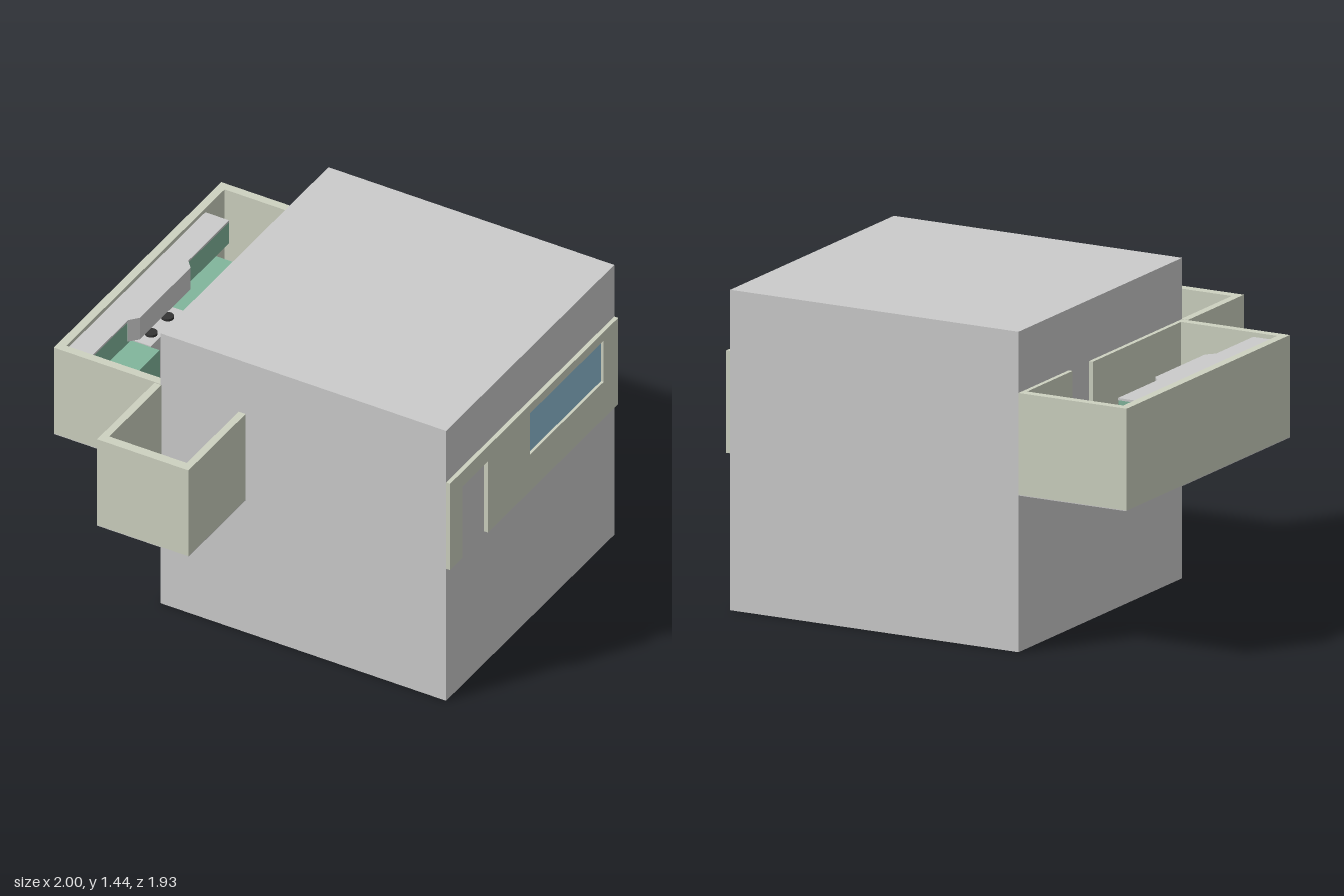
import * as THREE from 'three';

const mat = (color = 0xcccccc) => new THREE.MeshStandardMaterial({ color, side: THREE.DoubleSide });
const grey = mat(), wallMat = mat(0xcdd1c0), teal = mat(0x81b59c), glass = mat(0x8fbcd4);
const porcelain = mat(0xa1cdcb), dark = mat(0x333333);
const FLOOR = 0.707, TOP = 1.165;

export function createModel() {
  const root = new THREE.Group();
  const add = (parent, name, geometry, material) => {
    const m = new THREE.Mesh(geometry, material);
    m.name = name;
    parent.add(m);
    return m;
  };
  const group = (name) => {
    const g = new THREE.Group();
    g.name = name;
    root.add(g);
    return g;
  };
  // Box given by its min and max on each axis
  const box = (parent, name, [x0, x1], [y0, y1], [z0, z1], material = grey) => {
    const m = add(parent, name, new THREE.BoxGeometry(x1 - x0, y1 - y0, z1 - z0), material);
    m.position.set((x0 + x1) / 2, (y0 + y1) / 2, (z0 + z1) / 2);
    return m;
  };
  const outline = (pts) => new THREE.Shape(pts.map(([x, y]) => new THREE.Vector2(x, y)));
  // Plan outline in (x, z), raised from y0 to y1
  const prism = (parent, name, pts, y0, y1, material = grey) => {
    const g = new THREE.ExtrudeGeometry(outline(pts), { depth: y1 - y0, bevelEnabled: false });
    g.rotateX(Math.PI / 2).translate(0, y1, 0);
    return add(parent, name, g, material);
  };

  // Main block
  box(root, 'mainBlock', [-0.46, 0.98], [0, 1.44], [-0.965, 0.475]);

  // Right wall with door notch and window hole, drawn in (-z, y)
  const right = group('rightWall');
  const face = outline([[-0.475, 0.705], [-0.37, 0.705], [-0.37, 1.085], [-0.15, 1.085],
    [-0.15, 0.705], [0.965, 0.705], [0.965, TOP], [-0.475, TOP]]);
  face.holes.push(new THREE.Path([[0.21, 0.9], [0.84, 0.9], [0.84, 1.12], [0.21, 1.12]]
    .map(([x, y]) => new THREE.Vector2(x, y))));
  const wallGeo = new THREE.ExtrudeGeometry(face, { depth: 0.04, bevelEnabled: false });
  wallGeo.rotateY(Math.PI / 2).translate(0.96, 0, 0);
  add(right, 'wallPanel', wallGeo, wallMat);
  box(right, 'windowGlass', [0.975, 0.987], [0.9, 1.12], [-0.84, -0.21], glass);

  // Kitchen shell: floor, and a wall ring with a doorway gap
  const kitchen = group('kitchen');
  box(kitchen, 'kitchenFloor', [-1, -0.46], [0.704, FLOOR], [-0.965, 0.47]);
  prism(kitchen, 'kitchenWalls', [[-1, -0.965], [-0.459, -0.965], [-0.459, -0.525], [-0.48, -0.525],
    [-0.48, -0.925], [-0.96, -0.925], [-0.96, 0.43], [-0.48, 0.43], [-0.48, -0.345],
    [-0.459, -0.345], [-0.459, 0.47], [-1, 0.47]], FLOOR, TOP, wallMat);

  // Cabinets either side of the stove
  for (const [z0, z1] of [[-0.76, -0.33], [-0.03, 0.43]]) {
    box(kitchen, 'lowerCabinet', [-0.96, -0.76], [FLOOR, 0.93], [z0, z1], teal);
    box(kitchen, 'upperCabinet', [-0.96, -0.842], [1.02, 1.135], [z0, z1], teal);
  }
  box(kitchen, 'stove', [-0.96, -0.805], [FLOOR, 0.935], [-0.33, -0.03]);
  for (const x of [-0.92, -0.85]) for (const z of [-0.25, -0.11]) {
    add(kitchen, 'burner', new THREE.CylinderGeometry(0.028, 0.028, 0.012, 20), dark).position.set(x, 0.941, z);
  }
  // Cabinet cover with the hood bulging out over the stove
  prism(kitchen, 'cabinetTop', [[-0.96, -0.76], [-0.84, -0.76], [-0.84, -0.41], [-0.805, -0.37],
    [-0.805, 0.065], [-0.84, 0.105], [-0.84, 0.43], [-0.96, 0.43]], 1.135, 1.145);
  prism(kitchen, 'hood', [[-0.96, -0.41], [-0.84, -0.41], [-0.805, -0.37], [-0.805, 0.065],
    [-0.84, 0.105], [-0.96, 0.105]], 1.03, 1.135);
  box(kitchen, 'kitchenSink', [-0.9, -0.79], [0.925, 0.94], [0.27, 0.4]);

  // Bathroom shell
  const bath = group('bathroom');
  box(bath, 'bathroomFloor', [-0.49, -0.03], [0.704, FLOOR], [0.475, 0.965]);
  prism(bath, 'bathroomWalls', [[-0.49, 0.475], [-0.455, 0.475], [-0.455, 0.92], [-0.065, 0.92],
    [-0.065, 0.475], [-0.03, 0.475], [-0.03, 0.965], [-0.49, 0.965]], FLOOR, TOP, wallMat);

  // Toilet: turned bowl stretched to an oval, lid and tank
  const profile = [[0, 0.7], [0.026, 0.7], [0.024, 0.74], [0.04, 0.775], [0.046, 0.8], [0, 0.8]]
    .map(([r, y]) => new THREE.Vector2(r, y));
  const bowl = add(bath, 'toiletBowl', new THREE.LatheGeometry(profile, 32), grey);
  const lid = add(bath, 'toiletLid', new THREE.CylinderGeometry(0.048, 0.048, 0.012, 32), porcelain);
  bowl.position.set(-0.152, 0, 0.81);
  lid.position.set(-0.152, 0.806, 0.81);
  bowl.scale.z = lid.scale.z = 1.56;
  box(bath, 'toiletTank', [-0.2, -0.104], [0.77, 0.87], [0.875, 0.92]);

  // Basin: rim of four sides around a sunken tray, on a pedestal
  box(bath, 'basinPedestal', [-0.4, -0.34], [FLOOR, 0.83], [0.85, 0.92]);
  box(bath, 'basinTray', [-0.43, -0.31], [0.83, 0.84], [0.822, 0.92]);
  for (const [x, z] of [[[-0.43, -0.417], [0.822, 0.92]], [[-0.323, -0.31], [0.822, 0.92]],
    [[-0.417, -0.323], [0.822, 0.834]], [[-0.417, -0.323], [0.908, 0.92]]]) {
    box(bath, 'basinRim', x, [0.84, 0.88], z);
  }
  return root;
}
